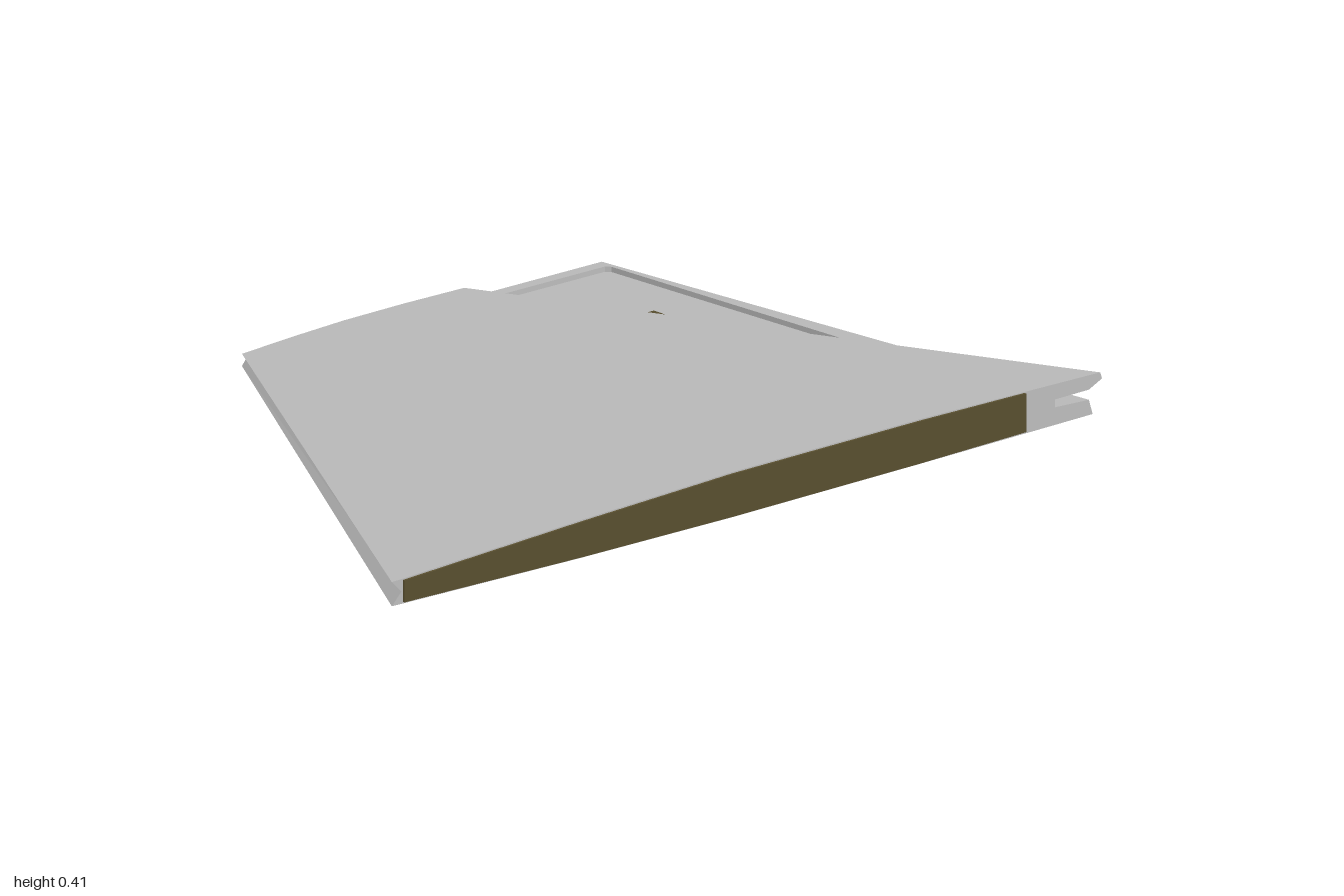
import * as THREE from 'three';

// Matching cross-sections as [z, y], nose over the top to the tail and back underneath
const ROOT = [[1, .388], [.5, .405], [.1, .415], [-.4, .412], [-.88, .4], [-.885, .385], [-.85, .368],
  [-.76, .368], [-.76, .35], [-.85, .345], [-.86, .31], [-.4, .31], [.1, .312], [.5, .319], [1, .333], [.975, .36]];
const TIP = [[-.03, .046], [-.18, .052], [-.3, .055], [-.46, .054], [-.62, .05], [-.625, .045], [-.6, .037],
  [-.55, .037], [-.55, .026], [-.985, .019], [-1, .007], [-.62, 0], [-.42, .002], [-.25, .007], [-.03, .018], [-.042, .033]];
const XR = .93, XT = -.94;

export function createModel() {
  const group = new THREE.Group();
  const grey = new THREE.MeshStandardMaterial({ color: 0xc0c0c0, side: THREE.DoubleSide });
  grey.name = 'panel grey';
  const olive = new THREE.MeshStandardMaterial({ color: 0x5a5030, side: THREE.DoubleSide });
  olive.name = 'structure olive';

  const add = (name, geo, mat) => {
    const mesh = new THREE.Mesh(geo, mat);
    mesh.name = name;
    group.add(mesh);
  };
  const fromTriangles = (pos) => {
    const geo = new THREE.BufferGeometry();
    geo.setAttribute('position', new THREE.Float32BufferAttribute(pos, 3));
    geo.computeVertexNormals();
    return geo;
  };
  const outline = (pts) => new THREE.Shape(pts.map(([z, y]) => new THREE.Vector2(-z, y)));

  // Tapered skin joining the two sections, including the nose groove and tail slot
  const skin = [];
  ROOT.forEach((p, i) => {
    const j = (i + 1) % ROOT.length;
    const a = [XR, p[1], p[0]], b = [XR, ROOT[j][1], ROOT[j][0]];
    const c = [XT, TIP[i][1], TIP[i][0]], d = [XT, TIP[j][1], TIP[j][0]];
    skin.push(...a, ...b, ...c, ...b, ...d, ...c);
  });
  add('wingSkin', fromTriangles(skin), grey);

  // End faces
  add('rootFace', new THREE.ShapeGeometry(outline(ROOT)).rotateY(Math.PI / 2).translate(XR, 0, 0), grey);
  const tipFace = new THREE.ShapeGeometry(outline([...TIP].reverse())).rotateY(Math.PI / 2).translate(XT, 0, 0);
  const index = tipFace.index.array;
  for (let i = 0; i < index.length; i += 3) [index[i], index[i + 1]] = [index[i + 1], index[i]];
  const n = tipFace.attributes.normal;
  for (let i = 0; i < n.count; i++) n.setX(i, -1);
  add('tipFace', tipFace, grey);

  // Root rib
  const rib = [[.97, .386], [.5, .402], [.1, .412], [-.4, .409], [-.68, .403],
    [-.68, .315], [-.4, .313], [.1, .315], [.5, .322], [.97, .336]];
  add('rootRib', new THREE.ExtrudeGeometry(outline(rib), { depth: .005, bevelEnabled: false })
    .rotateY(Math.PI / 2).translate(XR, 0, 0), olive);

  // Height of the open bay floor behind the upper skin
  const floor = (x, z) => {
    const t = (x - XT) / (XR - XT), mix = THREE.MathUtils.lerp;
    const z0 = mix(TIP[8][0], ROOT[8][0], t), z1 = mix(TIP[9][0], ROOT[9][0], t);
    return mix(mix(TIP[8][1], ROOT[8][1], t), mix(TIP[9][1], ROOT[9][1], t), (z - z0) / (z1 - z0));
  };
  // Convex footprint of [x, z] points raised off the floor
  const raised = (pts, h) => {
    const pos = [];
    const v = ([x, z], up) => [x, floor(x, z) + up, z];
    pts.forEach((p, i) => {
      const q = pts[(i + 1) % pts.length];
      pos.push(...v(p, 0), ...v(q, 0), ...v(q, h), ...v(p, 0), ...v(q, h), ...v(p, h));
      if (i > 0 && i < pts.length - 1) pos.push(...v(pts[0], h), ...v(p, h), ...v(q, h));
    });
    return fromTriangles(pos);
  };

  // Low lip around the bay, corners listed counter-clockwise from above
  add('tipLip', raised([[-.872, -.6], [-.864, -.6], [-.864, -.935], [-.872, -.935]], .012), grey);
  add('cornerLip', raised([[-.872, -.935], [-.864, -.935], [-.85, -.942], [-.855, -.95]], .012), grey);
  add('rearLip', raised([[-.855, -.95], [-.85, -.942], [.42, -.807], [.42, -.815]], .012), grey);

  // Exposed structure in the bay floor
  add('bayPlate', raised([[-.49, -.69], [-.29, -.714], [-.29, -.75], [-.49, -.78]], .004), olive);
  add('bayPlateEnd', raised([[-.265, -.717], [-.18, -.73], [-.265, -.746]], .004), olive);
  return group;
}
